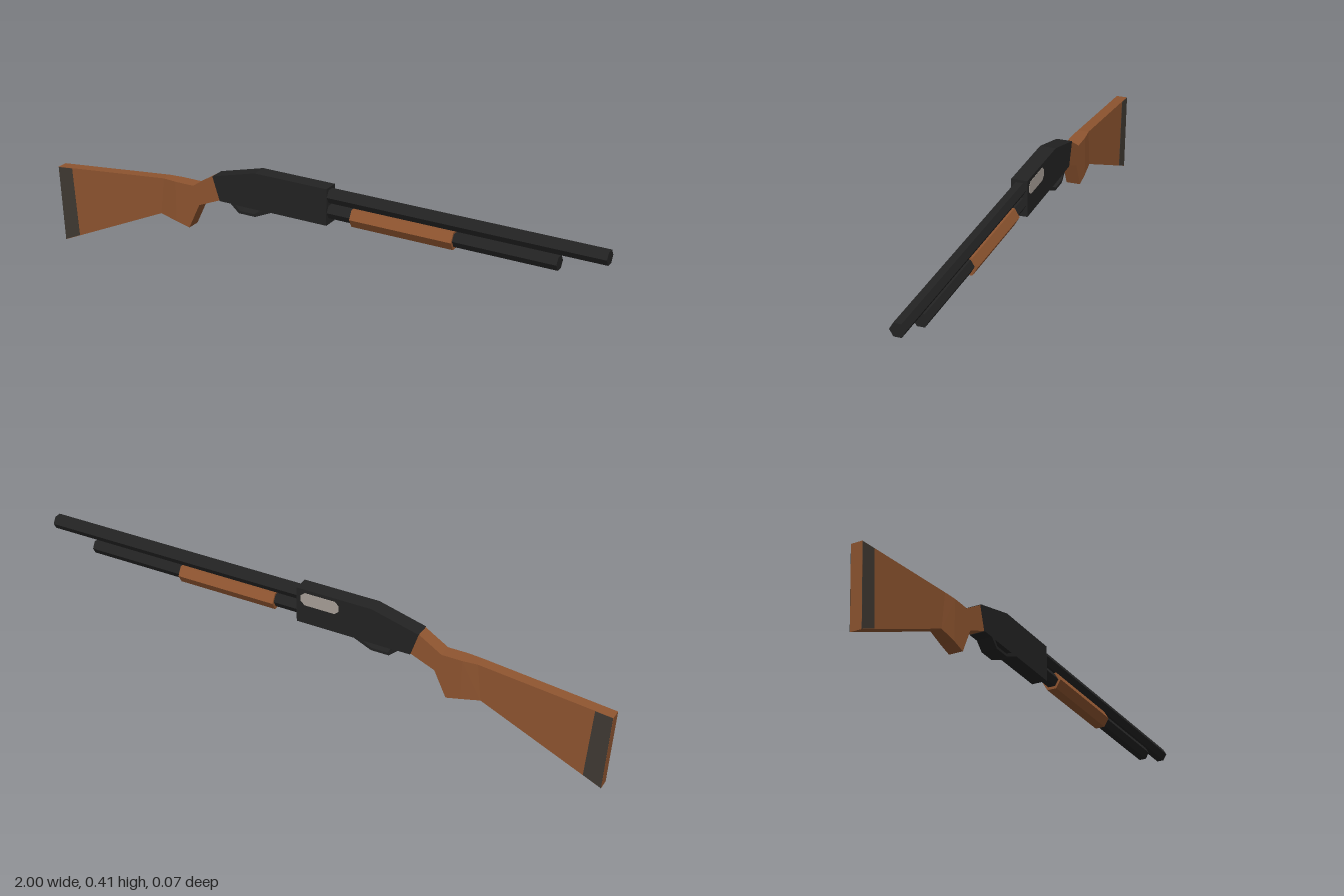
import * as THREE from 'three';

const paint = (name, color) => {
  const m = new THREE.MeshStandardMaterial({ color });
  m.name = name;
  return m;
};

export function createModel() {
  const group = new THREE.Group();
  const wood = paint('wood', 0x8f5530);
  const black = paint('gunmetal', 0x232323);
  const rubber = paint('rubber', 0x403a33);
  const steel = paint('steel', 0xa8a098);

  const add = (name, geometry, material) => {
    const mesh = new THREE.Mesh(geometry, material);
    mesh.name = name;
    group.add(mesh);
    return mesh;
  };
  const vectors = (pts) => pts.map(([x, y]) => new THREE.Vector2(x, y));

  // Side profile thickened across z; half width may vary along x
  const slab = (name, pts, halfWidth, material, hole) => {
    const shape = new THREE.Shape(vectors(pts));
    if (hole) shape.holes.push(new THREE.Path(vectors(hole)));
    const geo = new THREE.ExtrudeGeometry(shape, { depth: 2, bevelEnabled: false });
    geo.translate(0, 0, -1);
    const p = geo.attributes.position;
    for (let i = 0; i < p.count; i++) p.setZ(i, p.getZ(i) * halfWidth(p.getX(i)));
    geo.computeVertexNormals();
    return add(name, geo, material);
  };

  // Six-sided rod lying along x, flat side up
  const rod = (name, x0, x1, y, radius, material) => {
    const geo = new THREE.CylinderGeometry(radius, radius, x1 - x0, 6).toNonIndexed();
    geo.computeVertexNormals();
    geo.rotateZ(Math.PI / 2);
    geo.translate((x0 + x1) / 2, y, 0);
    return add(name, geo, material);
  };

  const BUTT = 0.019, GRIP = 0.024, BODY = 0.027;

  // Stock: thin butt, flaring wrist, thicker grip
  slab('buttStock', [[-0.985, 0], [-0.575, 0.186], [-0.56, 0.314], [-1, 0.268]], () => BUTT, wood);
  slab('stockFlare', [[-0.575, 0.186], [-0.51, 0.173], [-0.51, 0.314], [-0.56, 0.314]],
    (x) => (x > -0.53 ? GRIP : BUTT), wood);
  slab('grip', [[-0.51, 0.173], [-0.46, 0.161], [-0.418, 0.25], [-0.33, 0.287],
    [-0.36, 0.364], [-0.44, 0.314], [-0.51, 0.314]], () => GRIP, wood);

  // Dark butt pad panels, one on each side of the stock
  for (const side of [1, -1]) {
    slab(side > 0 ? 'leftButtPad' : 'rightButtPad',
      [[-0.985, 0.001], [-0.924, 0.029], [-0.942, 0.273], [-0.999, 0.267]],
      () => 0.001, rubber).position.z = side * BUTT;
  }

  // Receiver and trigger guard
  slab('receiver', [[-0.335, 0.283], [0.065, 0.283], [0.065, 0.407], [-0.2, 0.407], [-0.362, 0.364]],
    () => BODY, black);
  slab('triggerGuard', [[-0.295, 0.285], [-0.262, 0.256], [-0.2, 0.256], [-0.135, 0.285]],
    () => BODY, black, [[-0.274, 0.282], [-0.17, 0.282], [-0.203, 0.265], [-0.258, 0.265]]);

  // Ejection port on the right-hand side
  slab('ejectionPort', [[-0.07, 0.35], [0.035, 0.35], [0.05, 0.362], [0.05, 0.383],
    [0.035, 0.395], [-0.07, 0.395], [-0.085, 0.383], [-0.085, 0.362]],
    () => 0.001, steel).position.z = -BODY;

  // Barrel, magazine tube and sliding fore-end
  rod('barrel', 0.05, 1, 0.377, 0.0245, black);
  rod('magazineTube', 0.05, 0.845, 0.325, 0.0245, black);
  rod('foreEnd', 0.15, 0.503, 0.323, 0.033, wood);

  return group;
}
